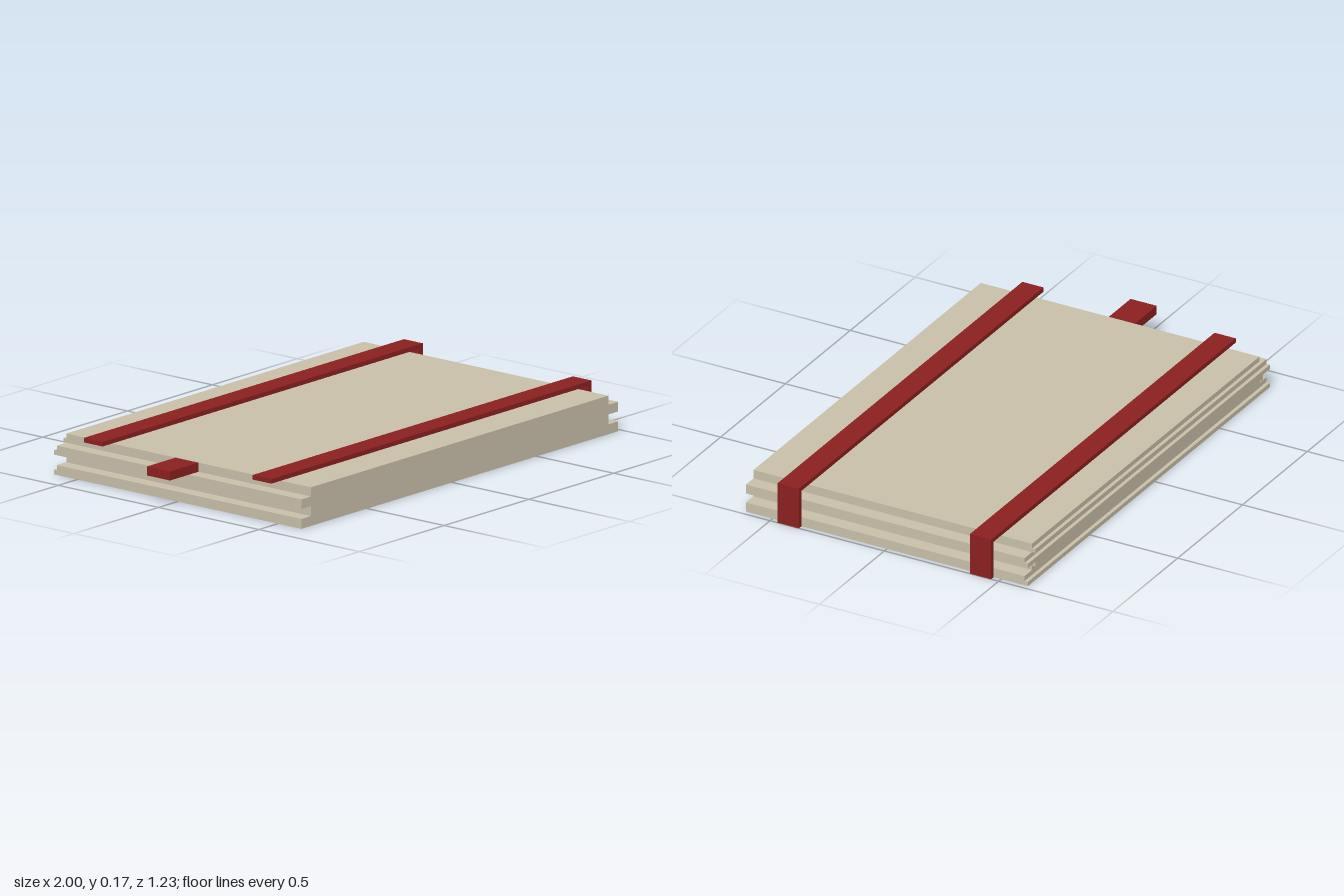
import * as THREE from 'three';

export function createModel() {
  const model = new THREE.Group();
  const stone = new THREE.MeshStandardMaterial({ color: 0xc8bfa9 });
  stone.name = 'beige panel';
  const red = new THREE.MeshStandardMaterial({ color: 0x8b2020 });
  red.name = 'dark red';

  // Extrudes an x-y outline between two z positions
  function slab(name, points, z0, z1, material, parent = model) {
    const shape = new THREE.Shape(points.map(([x, y]) => new THREE.Vector2(x, y)));
    const geometry = new THREE.ExtrudeGeometry(shape, { depth: z1 - z0, bevelEnabled: false });
    geometry.translate(0, 0, z0);
    const mesh = new THREE.Mesh(geometry, material);
    mesh.name = name;
    parent.add(mesh);
  }
  const rect = (x0, x1, y0, y1) => [[x0, y0], [x1, y0], [x1, y1], [x0, y1]];

  const top = 0.152, front = 0.617, back = -0.602, finBack = -0.617;
  const wide = [-0.888, 0.98], narrow = [-0.832, 0.922];

  // Panel: alternating wide and narrow layers, from the bottom up
  const layers = [[0, 0.039, wide], [0.039, 0.078, narrow], [0.078, 0.116, wide], [0.116, top, narrow]];
  const rightEdge = layers.flatMap(([y0, y1, w]) => [[w[1], y0], [w[1], y1]]);
  const leftEdge = layers.flatMap(([y0, y1, w]) => [[w[0], y0], [w[0], y1]]).reverse();
  slab('panel', [...rightEdge, ...leftEdge], back, front, stone);

  // Thin ridges along the back edge
  const ridges = new THREE.Group();
  ridges.name = 'backRidges';
  model.add(ridges);
  slab('bottomRidge', rect(...wide, 0, 0.018), finBack, back, stone, ridges);
  slab('middleRidge', [
    [narrow[0], 0.058], [narrow[1], 0.058], [narrow[1], 0.078], [wide[1], 0.078],
    [wide[1], 0.096], [wide[0], 0.096], [wide[0], 0.078], [narrow[0], 0.078],
  ], finBack, back, stone, ridges);
  slab('topRidge', rect(...narrow, 0.116, 0.132), finBack, back, stone, ridges);

  // Straps run over the top and fold down the left side
  const strap = [[-0.888, top], [0.98, top], [0.98, 0], [1, 0], [1, 0.17], [-0.888, 0.17]];
  slab('frontStrap', strap, 0.374, 0.467, red);
  slab('backStrap', strap, -0.467, -0.374, red);

  // Tab resting on the right step
  slab('tab', rect(-1, -0.832, 0.116, top), -0.057, 0.057, red);

  return model;
}
